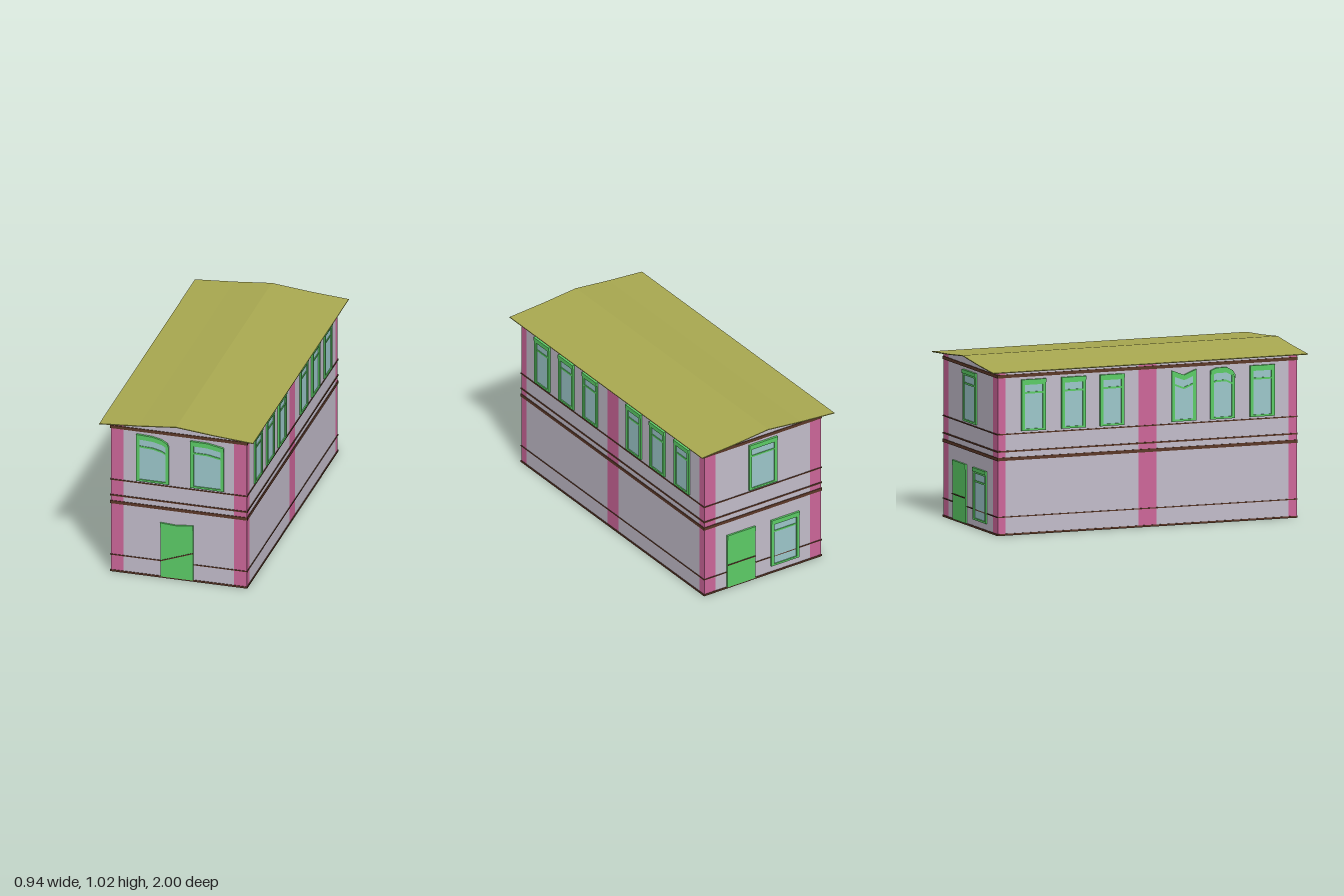
import * as THREE from 'three';

const mat = (color, opts = {}) => new THREE.MeshStandardMaterial({ color, ...opts });
const wallMat = mat(0xc2bcca, { side: THREE.DoubleSide });
const pierMat = mat(0xcc6699, { side: THREE.DoubleSide });
const frameMat = mat(0x5ccc66);
const glassMat = mat(0x9cc6ca, { side: THREE.DoubleSide });
const bandMat = mat(0x5c3828);
const roofMat = mat(0xa8a850);

// Wall planes
const XL = -0.412, XR = 0.418, ZF = 0.952, ZB = -0.947;
const ROOF = [[-0.47, 0.977], [-0.23, 0.995], [0, 1.018], [0.23, 0.995], [0.47, 0.977]];

// Piecewise-linear lookup in a list of [x, y]
function lerpList(list, x) {
  for (let i = 1; i < list.length; i++) {
    const [a, ya] = list[i - 1], [b, yb] = list[i];
    if (x <= b + 1e-9) return ya + (yb - ya) * (x - a) / (b - a);
  }
  return list[list.length - 1][1];
}

function add(parent, name, geometry, material) {
  const mesh = new THREE.Mesh(geometry, material);
  mesh.name = name;
  parent.add(mesh);
  return mesh;
}

// Outline between a lower and an upper curve from x0 to x1, with extra stops
function outline(x0, x1, lower, upper, stops = []) {
  const xs = [x0, ...stops.filter(x => x > x0 + 1e-6 && x < x1 - 1e-6), x1];
  return [
    ...xs.map(x => new THREE.Vector2(x, lower(x))),
    ...xs.slice().reverse().map(x => new THREE.Vector2(x, upper(x))),
  ];
}

function slab(points, z0, z1, hole) {
  const shape = new THREE.Shape(points);
  if (hole) shape.holes.push(new THREE.Path(hole));
  return new THREE.ExtrudeGeometry(shape, { depth: z1 - z0, bevelEnabled: false }).translate(0, 0, z0);
}

const LEVEL = [[0, 0], [1, 0]];

// Framed window; drops lowers the head along its width
function makeWindow(parent, name, cx, y0, w, h, drops = LEVEL) {
  const g = new THREE.Group();
  g.name = name;
  g.position.set(cx, y0, 0);
  const b = 0.02, l = -w / 2, r = w / 2;
  const head = d => x => h - d - lerpList(drops, (x - l) / w);
  const flat = y => () => y;
  const stops = drops.map(([u]) => l + u * w);
  const inner = outline(l + b, r - b, flat(0.012), head(0.032), stops);
  add(g, 'windowFrame', slab(outline(l, r, flat(0), head(0), stops), 0.001, 0.011, inner), frameMat);
  add(g, 'windowHead', slab(outline(l, r, head(0.022), head(0), stops), 0.011, 0.015), frameMat);
  add(g, 'transomBar', slab(outline(l + b, r - b, head(0.085), head(0.074), stops), 0.003, 0.008), frameMat);
  add(g, 'glass', new THREE.ShapeGeometry(new THREE.Shape(inner)).translate(0, 0, 0.004), glassMat);
  parent.add(g);
}

// Door leaf with head trim and a rail running from height r0 to r1
function makeDoor(parent, name, cx, w, h, drops, r0, r1) {
  const g = new THREE.Group();
  g.name = name;
  g.position.x = cx;
  const l = -w / 2, r = w / 2;
  const head = d => x => h - d - lerpList(drops, (x - l) / w);
  const stops = drops.map(([u]) => l + u * w);
  const rail = d => x => r0 + (r1 - r0) * (x - l) / w + d;
  add(g, 'doorLeaf', slab(outline(l, r, () => 0.01, head(0), stops), 0.001, 0.01), frameMat);
  add(g, 'doorHead', slab(outline(l, r, head(0.03), head(0), stops), 0.01, 0.013), frameMat);
  add(g, 'doorRail', slab(outline(l, r, rail(-0.003), rail(0.003)), 0.01, 0.014), bandMat);
  parent.add(g);
}

// A wall built from [start, end, isPier] stretches, all in one plane
function makeWall(parent, name, stretches, top, stops = []) {
  const g = new THREE.Group();
  g.name = name;
  for (const [a, b, pier] of stretches) {
    const shape = new THREE.Shape(outline(a, b, () => 0, top, stops));
    add(g, pier ? 'pier' : 'wallPanel', new THREE.ShapeGeometry(shape), pier ? pierMat : wallMat);
  }
  parent.add(g);
  return g;
}

export function createModel() {
  const model = new THREE.Group();
  const gable = x => lerpList(ROOF, x) - 0.004;
  const gableStops = ROOF.map(p => p[0]);

  // Front wall
  const front = makeWall(model, 'frontWall',
    [[XL, -0.335, true], [-0.335, 0.34, false], [0.34, XR, true]], gable, gableStops);
  front.position.z = ZF;
  makeWindow(front, 'frontWindowRight', -0.156, 0.615, 0.2, 0.305,
    [[0, 0], [0.5, 0.005], [0.78, 0.018], [0.95, 0.038], [1, 0.062]]);
  makeWindow(front, 'frontWindowLeft', 0.177, 0.615, 0.204, 0.305, [[0, 0], [0.52, 0.002], [1, 0.021]]);
  makeDoor(front, 'frontDoor', -0.008, 0.2, 0.361, [[0, 0], [0.5, 0.006], [1, -0.006]], 0.113, 0.187);

  // Back wall, local x runs the other way
  const back = makeWall(model, 'backWall',
    [[-XR, -0.34, true], [-0.34, 0.335, false], [0.335, -XL, true]], gable, gableStops);
  back.position.z = ZB;
  back.rotation.y = Math.PI;
  makeWindow(back, 'backUpperWindow', -0.005, 0.615, 0.2, 0.305);
  makeWindow(back, 'backLowerWindow', 0.152, 0.05, 0.2, 0.31);
  makeDoor(back, 'backDoor', -0.16, 0.2, 0.36, LEVEL, 0.16, 0.16);

  // Long side walls; z is the position along the building
  const centres = [-0.722, -0.468, -0.223, 0.232, 0.478, 0.73];
  const sagging = {
    3: [[0, 0], [0.5, 0.03], [1, 0]],
    4: [[0, 0.015], [0.25, 0], [0.65, 0], [0.9, 0.02], [1, 0.045]],
  };
  for (const s of [1, -1]) {
    const along = z => -s * z;
    const stretches = [[ZB, -0.897, true], [-0.897, -0.055, false], [-0.055, 0.06, true],
      [0.06, 0.9, false], [0.9, ZF, true]]
      .map(([a, b, p]) => [Math.min(along(a), along(b)), Math.max(along(a), along(b)), p]);
    const x = s > 0 ? XR : XL;
    const side = makeWall(model, s > 0 ? 'leftSideWall' : 'rightSideWall', stretches, () => gable(x));
    side.position.x = x;
    side.rotation.y = s * Math.PI / 2;
    centres.forEach((z, i) => makeWindow(side, 'sideWindow', along(z), 0.615, 0.155, 0.305,
      s < 0 && sagging[i] ? sagging[i] : LEVEL));
  }

  // Horizontal bands around all four walls, showing inside and out
  const bands = [[0, 0.011], [0.107, 0.113], [0.444, 0.463], [0.494, 0.503], [0.597, 0.604], [0.935, 0.954]];
  const t = 0.004;
  const ring = d => [[XL - d, ZB - d], [XR + d, ZB - d], [XR + d, ZF + d], [XL - d, ZF + d]]
    .map(([x, z]) => new THREE.Vector2(x, -z));
  for (const [y0, y1] of bands) {
    const geo = slab(ring(t), y0, y1, ring(-t)).rotateX(-Math.PI / 2);
    add(model, 'stringCourse', geo, bandMat);
  }

  // Thin roof sheet with overhanging eaves
  const roofShape = outline(-0.47, 0.47, x => lerpList(ROOF, x) - 0.005, x => lerpList(ROOF, x), gableStops);
  add(model, 'roof', slab(roofShape, -1, 1), roofMat);

  return model;
}
